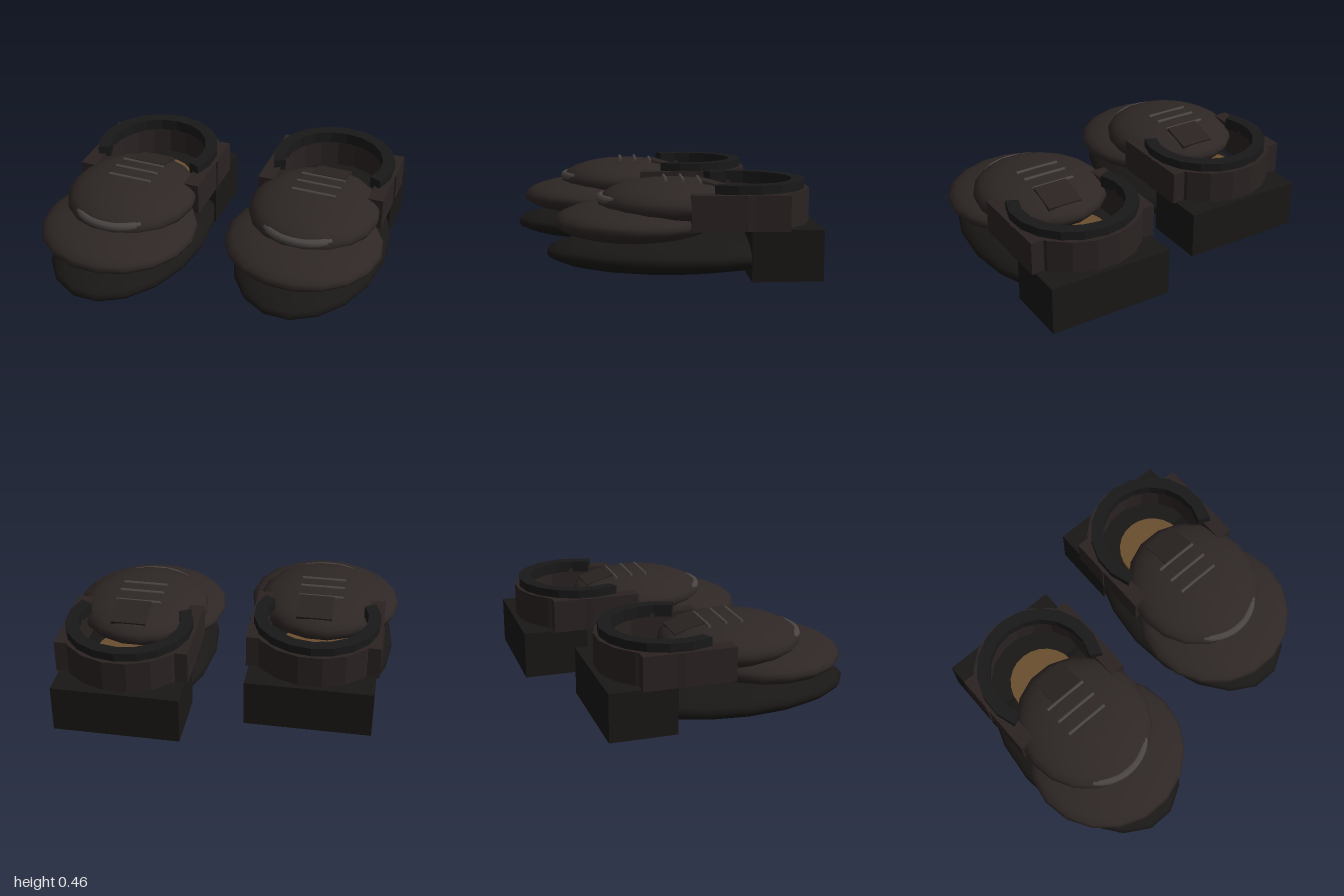
import * as THREE from 'three';

const paint = (color, flatShading = false) => new THREE.MeshStandardMaterial({ color, flatShading });

const leather = paint(0x2e2725);
const panel = paint(0x2a2322, true);
const rubber = paint(0x1a1816);
const rubberFlat = paint(0x1a1816, true);
const trim = paint(0x191919, true);
const lining = paint(0x6b4f2f);
const stitch = paint(0x4a4543);

function add(group, name, geometry, material, x, y, z) {
  const mesh = new THREE.Mesh(geometry, material);
  mesh.name = name;
  mesh.position.set(x, y, z);
  group.add(mesh);
  return mesh;
}

// Flattened ball with the given half sizes
function ellipsoid(rx, ry, rz) {
  return new THREE.SphereGeometry(1, 18, 14).scale(rx, ry, rz);
}

// Faceted horseshoe wall, open towards the toe; its top lies at y = 0
function horseshoe(outer, inner, height, overhang, segments) {
  const start = Math.PI - overhang;
  const sweep = Math.PI + 2 * overhang;
  const points = [];
  const at = (r, i) => {
    const a = start + (sweep * i) / segments;
    return new THREE.Vector2(r * Math.cos(a), r * Math.sin(a));
  };
  for (let i = 0; i <= segments; i++) points.push(at(outer, i));
  for (let i = segments; i >= 0; i--) points.push(at(inner, i));
  const geometry = new THREE.ExtrudeGeometry(new THREE.Shape(points), { depth: height, bevelEnabled: false });
  return geometry.rotateX(Math.PI / 2);
}

// One shoe: back of the heel at z = 0, toe towards +z
function createShoe(name) {
  const shoe = new THREE.Group();
  shoe.name = name;

  // Sole and heel
  add(shoe, 'sole', ellipsoid(0.385, 0.1, 0.625), rubber, 0, 0.1, 0.684);
  add(shoe, 'heelBlock', new THREE.BoxGeometry(0.64, 0.245, 0.337), rubberFlat, 0, 0.1225, 0.1685);

  // Upper
  add(shoe, 'toeCap', ellipsoid(0.402, 0.098, 0.395), leather, 0, 0.25, 0.872);
  add(shoe, 'vamp', ellipsoid(0.335, 0.115, 0.357), leather, 0, 0.34, 0.7);
  for (const side of [-1, 1]) {
    add(shoe, 'sidePanel', new THREE.BoxGeometry(0.08, 0.17, 0.46), panel, side * 0.295, 0.325, 0.39);
  }

  // Heel counter, padded collar and insole
  add(shoe, 'heelCounter', horseshoe(0.342, 0.27, 0.168, 0, 9), panel, 0, 0.41, 0.365);
  add(shoe, 'collar', horseshoe(0.322, 0.258, 0.06, 0.47, 12), trim, 0, 0.453, 0.365);
  add(shoe, 'insole', new THREE.CylinderGeometry(0.178, 0.178, 0.03, 24), lining, 0, 0.25, 0.38);

  // Tongue
  const tongue = add(shoe, 'tongue', new THREE.BoxGeometry(0.18, 0.035, 0.16), panel, 0.02, 0.413, 0.48);
  tongue.rotation.x = -0.28;

  // Laces across the vamp
  [[0.56, 0.443], [0.645, 0.452], [0.727, 0.452]].forEach(([z, y]) => {
    const lace = new THREE.CylinderGeometry(0.009, 0.009, 0.23, 8).rotateZ(Math.PI / 2);
    add(shoe, 'lace', lace, stitch, 0, y, z);
  });

  // Toe seam: a short arc over the front of the vamp
  const arc = Math.PI / 2;
  const seam = new THREE.TorusGeometry(0.235, 0.022, 8, 16, arc)
    .rotateZ((Math.PI - arc) / 2)
    .rotateX(Math.PI / 2);
  add(shoe, 'toeSeam', seam, stitch, 0, 0.36, 0.805);

  return shoe;
}

export function createModel() {
  const model = new THREE.Group();
  model.name = 'pairOfShoes';
  // Both shoes point the same way, one a little ahead
  [['rightShoe', -0.205, -0.645], ['leftShoe', 0.713, -0.405]].forEach(([name, x, z]) => {
    const shoe = createShoe(name);
    shoe.position.set(x, 0, z);
    shoe.rotation.y = -0.47;
    model.add(shoe);
  });
  return model;
}
